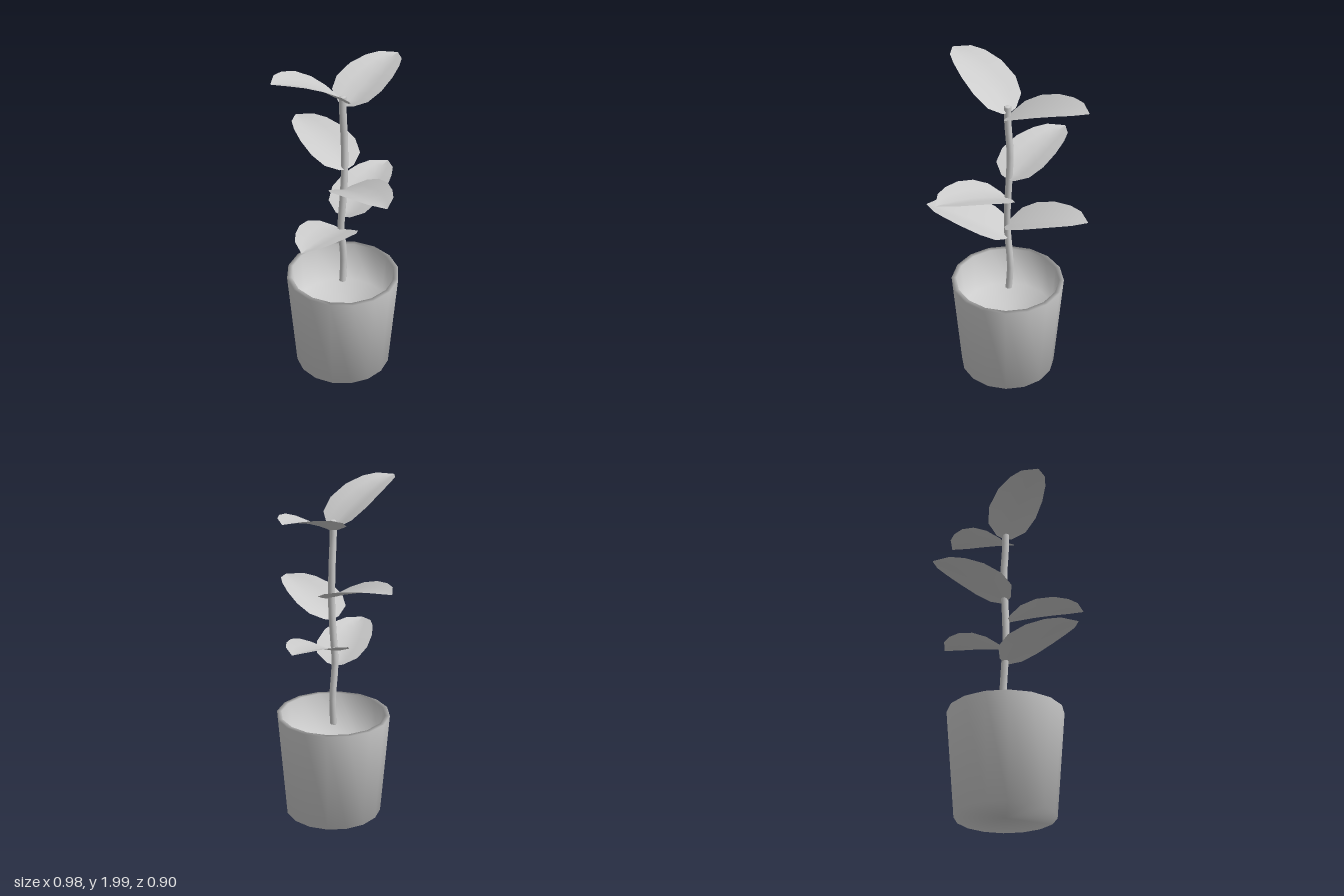
import * as THREE from 'three';

const grey = new THREE.MeshStandardMaterial({ color: 0xcccccc, side: THREE.DoubleSide });
grey.name = 'light grey';

const v2 = (x, y) => new THREE.Vector2(x, y);
const v3 = (x, y, z) => new THREE.Vector3(x, y, z);

function part(name, geometry) {
  const mesh = new THREE.Mesh(geometry, grey);
  mesh.name = name;
  return mesh;
}

// Outline stations of a leaf: [position along the midrib, half width]
const stations = [[0, 0.05], [0.08, 0.125], [0.25, 0.155], [0.48, 0.148], [0.7, 0.117], [0.86, 0.078], [1, 0.003]];
const columns = [-1, -0.5, 0, 0.5, 1];

// Arched, slightly folded blade running from base to tip
function leafGeometry(base, tip) {
  const span = tip.clone().sub(base);
  const side = v3(span.z, 0, -span.x).normalize();
  const positions = [], index = [];
  const n = columns.length;
  stations.forEach(([t, w], i) => {
    const mid = base.clone().addScaledVector(span, t);
    mid.y = base.y + span.y * (1.65 * t - 0.65 * t * t);
    columns.forEach((s, j) => {
      const p = mid.clone().addScaledVector(side, s * w);
      p.y += 0.25 * Math.abs(s) * w;
      positions.push(p.x, p.y, p.z);
      if (i && j) {
        const d = i * n + j, c = d - 1, b = d - n, a = b - 1;
        index.push(a, b, d, a, d, c);
      }
    });
  });
  const geometry = new THREE.BufferGeometry();
  geometry.setAttribute('position', new THREE.Float32BufferAttribute(positions, 3));
  geometry.setIndex(index);
  geometry.computeVertexNormals();
  return geometry;
}

export function createModel() {
  const plant = new THREE.Group();
  plant.name = 'pottedPlant';

  // Tapered pot with a thick rim and hollow inside
  plant.add(part('pot', new THREE.LatheGeometry([
    v2(0, 0), v2(0.285, 0), v2(0.335, 0.62), v2(0.307, 0.62), v2(0.287, 0.37), v2(0, 0.37),
  ], 16)));

  // Gently wavering stem
  const path = new THREE.CatmullRomCurve3([
    v3(0.005, 0.56, -0.005), v3(0.015, 0.73, -0.005), v3(-0.005, 0.95, -0.01), v3(-0.003, 1.1, 0),
    v3(0.008, 1.28, 0.005), v3(0.015, 1.5, 0), v3(0, 1.7, 0), v3(0, 1.79, 0),
  ]);
  plant.add(part('stem', new THREE.TubeGeometry(path, 16, 0.021, 8)));
  for (const [y, x, z] of [[0.56, 0.005, -0.005], [1.79, 0, 0]]) {
    const cap = part('stemEnd', new THREE.SphereGeometry(0.021, 8, 4));
    cap.scale.y = 0.3;
    cap.position.set(x, y, z);
    plant.add(cap);
  }

  // Leaves, from the lowest to the highest
  const leaves = [
    ['lowerRightLeaf', v3(0, 0.925, -0.01), v3(-0.49, 1.06, 0.07)],
    ['lowerLeftLeaf', v3(0, 1.015, 0), v3(0.487, 1.155, -0.015)],
    ['middleFrontLeaf', v3(0, 1.205, 0.01), v3(-0.225, 1.35, 0.448)],
    ['middleBackLeaf', v3(0.01, 1.335, 0.02), v3(0.16, 1.475, -0.45)],
    ['upperLeftLeaf', v3(0.01, 1.735, 0.01), v3(0.487, 1.88, 0.035)],
    ['upperRightLeaf', v3(0.01, 1.755, 0), v3(-0.413, 1.99, -0.17)],
  ];
  for (const [name, base, tip] of leaves) plant.add(part(name, leafGeometry(base, tip)));

  return plant;
}
